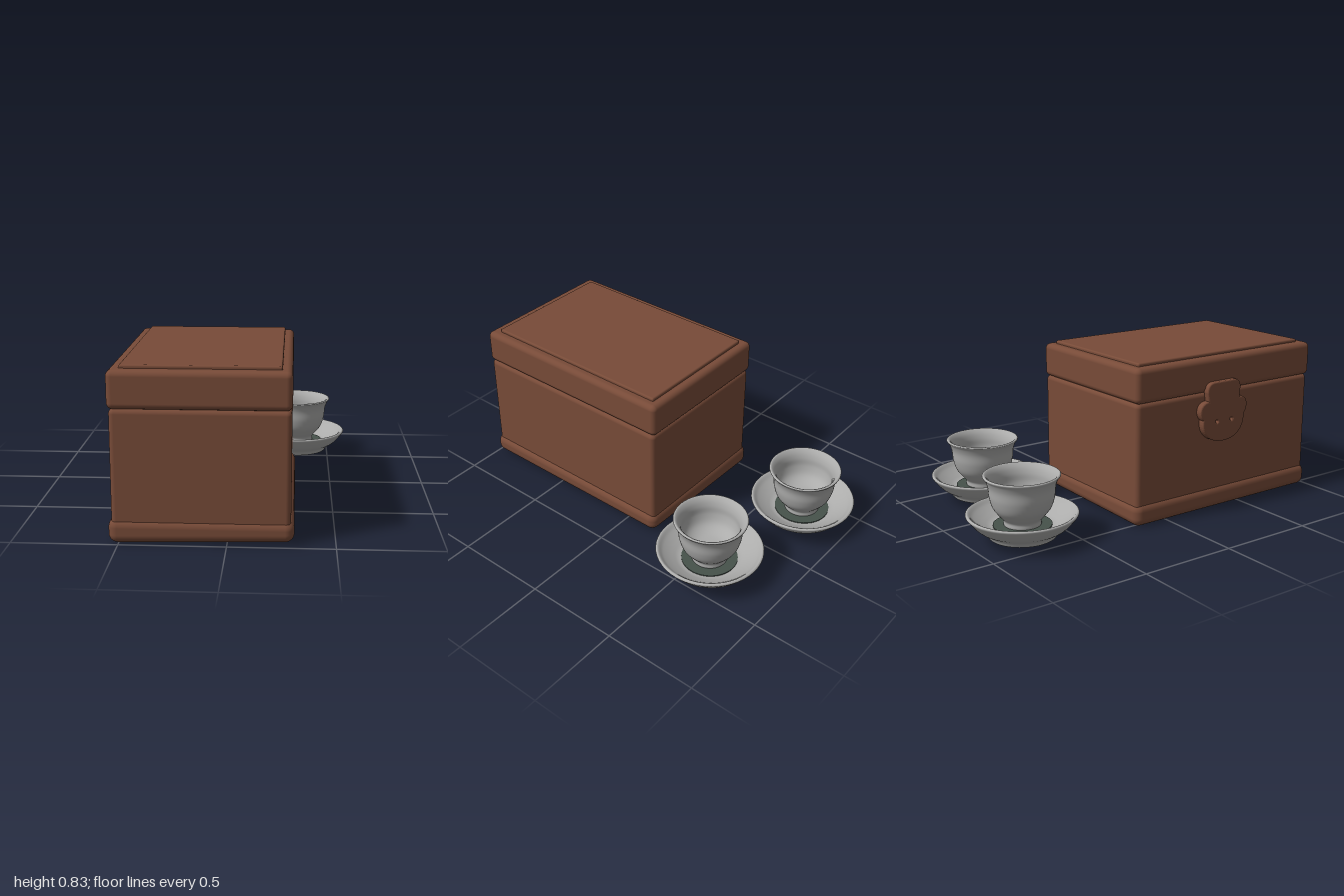
import * as THREE from 'three';
import { RoundedBoxGeometry } from 'three/addons/geometries/RoundedBoxGeometry.js';

export function createModel() {
  const model = new THREE.Group();
  const wood = new THREE.MeshStandardMaterial({ name: 'brown wood', color: 0x784b38 });
  const china = new THREE.MeshStandardMaterial({ name: 'grey porcelain', color: 0xacacab, side: THREE.DoubleSide });
  const inlay = new THREE.MeshStandardMaterial({ name: 'dark green inlay', color: 0x46524b });

  const add = (parent, name, geometry, material) => {
    const mesh = new THREE.Mesh(geometry, material);
    mesh.name = name;
    parent.add(mesh);
    return mesh;
  };

  // Rounded block given by its limits on each axis
  const block = (parent, name, [x0, x1], [y0, y1], [z0, z1], r) => {
    const g = new RoundedBoxGeometry(x1 - x0, y1 - y0, z1 - z0, 4, r);
    g.translate((x0 + x1) / 2, (y0 + y1) / 2, (z0 + z1) / 2);
    return add(parent, name, g, wood);
  };

  // Chest: flared base, body, lid and raised top panel
  const chest = new THREE.Group();
  chest.name = 'chest';
  model.add(chest);
  const base = block(chest, 'baseMoulding', [-0.547, 0.309], [0.012, 0.118], [-0.205, 0.997], 0.042);
  block(chest, 'body', [-0.532, 0.293], [0.03, 0.637], [-0.193, 0.985], 0.025);
  block(chest, 'lid', [-0.54, 0.295], [0.634, 0.813], [-0.2, 0.992], 0.028);
  block(chest, 'lidPanel', [-0.487, 0.248], [0.79, 0.829], [-0.155, 0.935], 0.009);

  // The underside sags a little along one long edge
  const pos = base.geometry.attributes.position;
  for (let i = 0; i < pos.count; i++) {
    if (pos.getY(i) < 0.06) {
      pos.setY(i, pos.getY(i) - 0.012 * THREE.MathUtils.clamp(-pos.getX(i) / 0.5, -0.3, 1));
    }
  }

  // Clasp on the side: drawn as (z, y), extruded, then turned to face -x
  const clasp = new THREE.Group();
  clasp.name = 'clasp';
  chest.add(clasp);
  const plate = (name, shape, depth, x) => {
    const g = new THREE.ExtrudeGeometry(shape, {
      depth, bevelEnabled: true, bevelSize: 0.008, bevelThickness: 0.008, bevelSegments: 3, curveSegments: 16,
    });
    g.rotateY(-Math.PI / 2);
    g.translate(x, 0, 0);
    add(clasp, name, g, wood);
  };

  // Shield with two lobed shoulders
  const shield = new THREE.Shape();
  shield.moveTo(0.35, 0.378);
  shield.bezierCurveTo(0.44, 0.378, 0.485, 0.43, 0.48, 0.5);
  shield.bezierCurveTo(0.51, 0.53, 0.505, 0.59, 0.45, 0.585);
  shield.lineTo(0.25, 0.585);
  shield.bezierCurveTo(0.19, 0.59, 0.18, 0.53, 0.215, 0.5);
  shield.bezierCurveTo(0.2, 0.43, 0.26, 0.378, 0.35, 0.378);
  for (const z of [0.3, 0.4]) {
    const hole = new THREE.Path();
    hole.absarc(z, 0.48, 0.016, 0, Math.PI * 2, true);
    shield.holes.push(hole);
  }
  plate('claspShield', shield, 0.026, -0.532);

  // Hinged tab reaching up onto the lid
  const tab = new THREE.Shape();
  tab.moveTo(0.26, 0.54);
  tab.lineTo(0.44, 0.54);
  tab.lineTo(0.45, 0.64);
  tab.quadraticCurveTo(0.45, 0.682, 0.41, 0.682);
  tab.lineTo(0.28, 0.682);
  tab.quadraticCurveTo(0.24, 0.682, 0.24, 0.64);
  tab.closePath();
  plate('claspTab', tab, 0.021, -0.537);

  // Smooth turned profile from underside, over the rim, into the bowl
  const turned = (points) => {
    const curve = new THREE.CatmullRomCurve3(points.map(([r, y]) => new THREE.Vector3(r, y, 0)), false, 'centripetal');
    const profile = curve.getPoints(points.length * 5).map((p) => new THREE.Vector2(Math.max(p.x, 0), p.y));
    return new THREE.LatheGeometry(profile, 48);
  };
  const saucerGeometry = turned([
    [0, 0.02], [0.1, 0.02], [0.165, 0.022], [0.18, 0.045], [0.225, 0.075], [0.262, 0.115],
    [0.277, 0.138], [0.268, 0.145], [0.24, 0.122], [0.19, 0.092], [0.15, 0.076], [0, 0.072],
  ]);
  const cupGeometry = turned([
    [0, 0.078], [0.09, 0.078], [0.093, 0.105], [0.115, 0.132], [0.143, 0.17], [0.16, 0.225],
    [0.166, 0.28], [0.178, 0.313], [0.19, 0.331], [0.182, 0.337], [0.163, 0.318],
    [0.15, 0.285], [0.145, 0.24], [0.125, 0.19], [0.08, 0.16], [0, 0.152],
  ]);

  // Two teacups on saucers behind the chest
  for (const [name, x, z] of [['rightTeacup', -0.321, -0.731], ['leftTeacup', 0.319, -0.586]]) {
    const set = new THREE.Group();
    set.name = name;
    set.position.set(x, 0, z);
    add(set, 'saucer', saucerGeometry, china);
    add(set, 'cup', cupGeometry, china);
    const disc = add(set, 'saucerInlay', new THREE.CylinderGeometry(0.145, 0.145, 0.006, 40), inlay);
    disc.position.y = 0.077;
    model.add(set);
  }

  return model;
}
